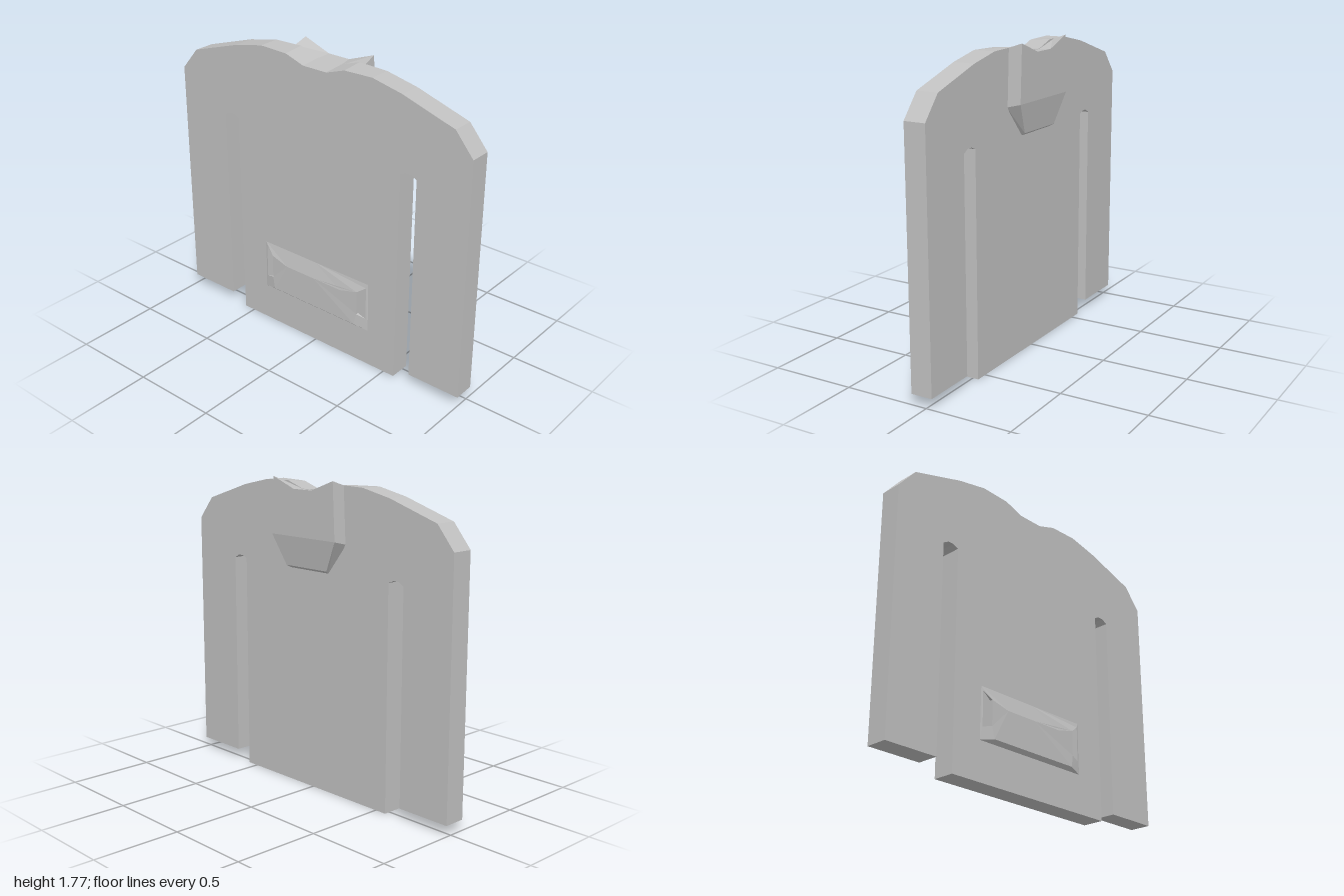
import * as THREE from 'three';

const BACK = -0.035, FRONT = 0.09;

// Flat-faced geometry from convex polygons listed counter-clockwise
function facets(polys) {
  const pos = [];
  for (const p of polys)
    for (let i = 1; i < p.length - 1; i++) pos.push(...p[0], ...p[i], ...p[i + 1]);
  const g = new THREE.BufferGeometry();
  g.setAttribute('position', new THREE.Float32BufferAttribute(pos, 3));
  g.computeVertexNormals();
  return g;
}

// Shirt silhouette: shoulders, sleeves and slots beside the torso
function bodyGeometry() {
  const half = [
    [0.08, 1.695], [0.2, 1.735], [0.38, 1.74], [0.57, 1.7], [0.89, 1.6], [1, 1.47],
    [1, 0.06], [0.675, 0.06], [0.675, 1.26], [0.64, 1.28], [0.605, 1.28], [0.57, 1.265], [0.57, 0],
  ];
  const outline = [...half, ...half.map(([x, y]) => [-x, y]).reverse()];
  const shape = new THREE.Shape(outline.map(([x, y]) => new THREE.Vector2(x, y)));
  const g = new THREE.ExtrudeGeometry(shape, { depth: FRONT - BACK, bevelEnabled: false });
  g.translate(0, 0, BACK);
  // the back of the neckline sits slightly higher
  const p = g.attributes.position;
  for (let i = 0; i < p.count; i++)
    if (Math.abs(p.getX(i)) < 0.3 && p.getY(i) > 1.6 && p.getZ(i) < 0) p.setY(i, p.getY(i) + 0.01);
  g.computeVertexNormals();
  return g;
}

// Hood hanging behind the neck: two matching rings with caps
function hoodGeometry() {
  const mirrorRing = (h) => [...h.map(([x, y, z]) => [-x, y, z]), ...h.slice().reverse()];
  // each half runs bottom, side, top tip, notch
  const rear = mirrorRing([[0.16, 1.28, -0.085], [0.25, 1.45, -0.112], [0.235, 1.77, -0.112], [0.07, 1.71, -0.112]]);
  const inner = mirrorRing([[0.15, 1.265, -0.06], [0.255, 1.43, -0.03], [0.24, 1.742, -0.03], [0.08, 1.703, -0.03]]);
  const cap = [[1, 2, 3], [1, 3, 4, 6], [4, 5, 6], [0, 1, 6, 7]];
  const polys = [];
  for (const c of cap) {
    polys.push(c.map((i) => rear[i]));
    polys.push(c.map((i) => inner[i]).reverse());
  }
  for (let i = 0; i < 8; i++) {
    const j = (i + 1) % 8;
    polys.push([rear[j], rear[i], inner[i], inner[j]]);
  }
  return facets(polys);
}

// Half of the front pocket with a recessed hand opening, then mirrored
function pocketGeometry() {
  const A0 = [0, 0.43, 0.112], A = [0.2, 0.43, 0.112], B0 = [0, 0.245, 0.112], B = [0.3, 0.245, 0.112];
  const T0 = [0, 0.525, FRONT], Tc = [0.38, 0.525, FRONT], U0 = [0, 0.225, FRONT], Uc = [0.385, 0.225, FRONT];
  const H0 = [0.37, 0.5, 0.094], H1 = [0.315, 0.46, 0.108], H2 = [0.315, 0.315, 0.108], H3 = [0.37, 0.3, 0.094];
  const F1 = [0.315, 0.46, 0.091], F2 = [0.315, 0.315, 0.091];
  const half = [
    [T0, A0, A, H1, H0, Tc], // top slope
    [A0, B0, B, H2, H1, A], // front panel
    [B, Uc, H3, H2], [Uc, Tc, H0, H3], // side rim
    [B0, U0, Uc, B], // underside
    [F1, F2, H3, H0], [H1, H2, F2, F1], [H0, H1, F1], [H3, F2, H2], // opening
  ];
  const other = half.map((p) => p.map(([x, y, z]) => [-x, y, z]).reverse());
  return facets([...half, ...other]);
}

export function createModel() {
  const group = new THREE.Group();
  group.name = 'hoodedTop';
  const grey = new THREE.MeshStandardMaterial({ color: 0xc0c0c0 });
  grey.name = 'lightGrey';
  const parts = { body: bodyGeometry(), hood: hoodGeometry(), frontPocket: pocketGeometry() };
  for (const [name, geometry] of Object.entries(parts)) {
    const mesh = new THREE.Mesh(geometry, grey);
    mesh.name = name;
    group.add(mesh);
  }
  return group;
}
